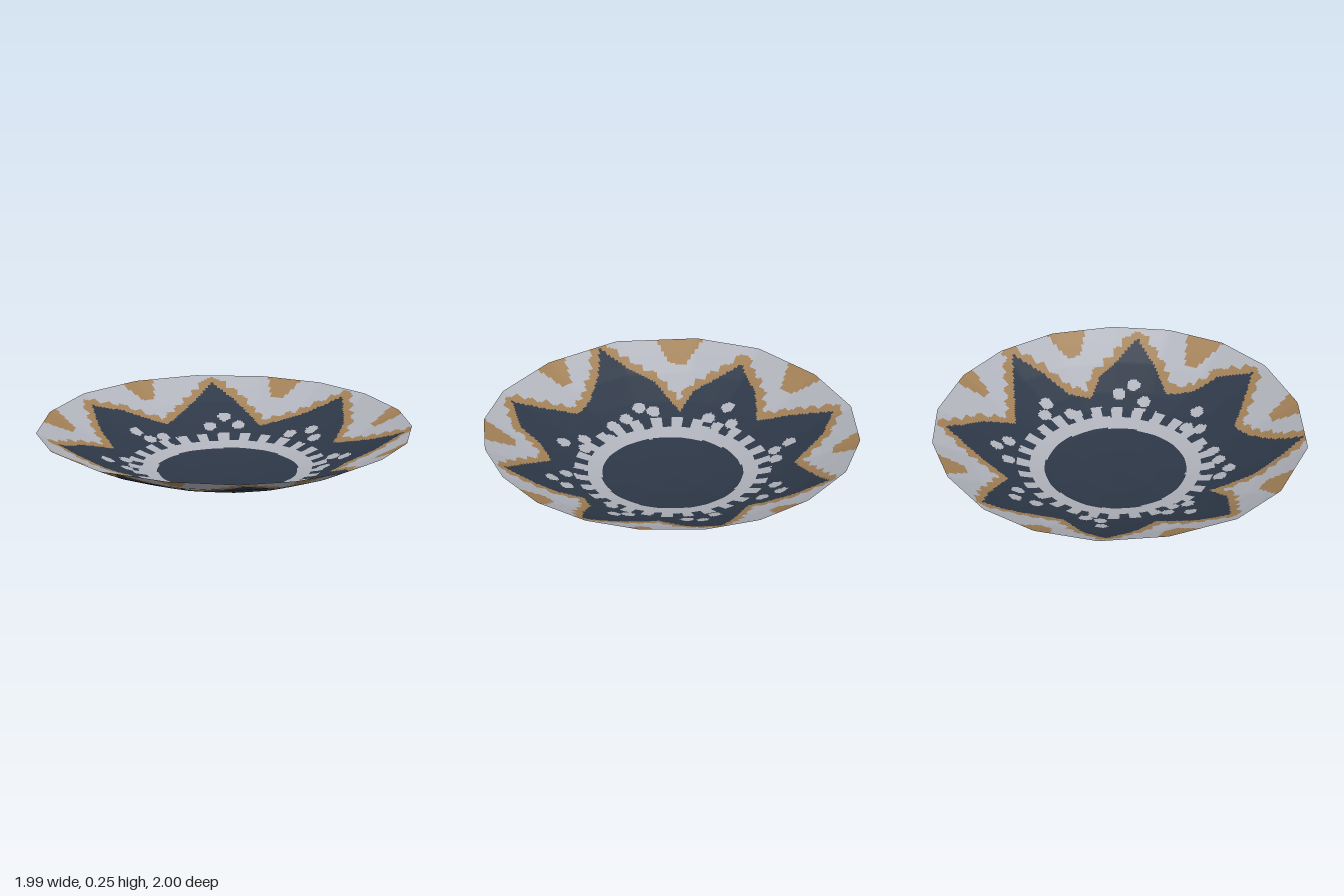
import * as THREE from 'three';

const navy = new THREE.MeshStandardMaterial({ color: 0x2d3746, side: THREE.DoubleSide });
navy.name = 'navy glaze';
const grey = new THREE.MeshStandardMaterial({ color: 0xb0b2bb, side: THREE.DoubleSide });
grey.name = 'pale grey glaze';
const ochre = new THREE.MeshStandardMaterial({ color: 0xa07f56, side: THREE.DoubleSide });
ochre.name = 'ochre glaze';

// Uneven many-sided rim, as x, z corners
const RIM = [
  [-0.05, -1], [0.26, -0.96], [0.57, -0.81], [0.79, -0.6], [0.94, -0.32], [0.99, 0],
  [0.95, 0.3], [0.82, 0.58], [0.6, 0.8], [0.25, 0.96], [-0.17, 1], [-0.57, 0.84],
  [-0.82, 0.6], [-0.97, 0.23], [-1, -0.15], [-0.89, -0.49], [-0.68, -0.75], [-0.37, -0.93],
];
// Eight-pointed star outline, as x, z corners
const STAR = [
  [0.14, -0.92], [0.28, -0.72], [0.33, -0.54], [0.78, -0.54], [0.7, -0.38], [0.59, -0.25],
  [0.57, -0.13], [0.7, -0.08], [0.92, 0.13], [0.75, 0.22], [0.57, 0.27], [0.56, 0.42],
  [0.62, 0.55], [0.58, 0.73], [0.38, 0.67], [0.24, 0.62], [0.14, 0.69], [0.02, 0.83],
  [-0.06, 0.98], [-0.16, 0.83], [-0.25, 0.7], [-0.29, 0.47], [-0.41, 0.56], [-0.7, 0.57],
  [-0.68, 0.36], [-0.6, 0.17], [-0.75, 0.07], [-0.92, -0.1], [-0.8, -0.22], [-0.58, -0.32],
  [-0.58, -0.75], [-0.4, -0.71], [-0.17, -0.6], [-0.05, -0.72],
];
// Pale dabs around the ring: x, z
const DABS = [
  [0.02, -0.59], [0.12, -0.65], [0.18, -0.58], [-0.38, -0.57], [-0.28, -0.55], [-0.4, -0.46],
  [0.43, -0.38], [0.51, -0.37], [0.46, -0.24], [-0.53, -0.2], [-0.65, -0.12], [-0.56, -0.12],
  [0.6, 0.02], [0.65, 0.1], [0.54, 0.15], [-0.48, 0.24], [-0.52, 0.36], [-0.4, 0.35],
  [-0.34, 0.28], [-0.16, 0.53], [-0.1, 0.58], [0, 0.53], [0.09, 0.5], [0.15, 0.42],
  [0.29, 0.44], [0.42, 0.43], [0.32, 0.37],
];
// Ochre wedges hanging from the rim: x, z, half width
const WEDGES = [
  [-0.25, -0.97, 0.1], [0.57, -0.81, 0.08], [0.96, -0.25, 0.11], [0.85, 0.48, 0.1],
  [0.25, 0.96, 0.1], [-0.48, 0.88, 0.13], [-0.95, 0.29, 0.13], [-0.89, -0.49, 0.1],
];

// Distance to the nearest edge of the star, position along it, and inside test
function starField(x, z) {
  let best = Infinity, along = 0, run = 0, inside = false;
  STAR.forEach(([ax, az], i) => {
    const [bx, bz] = STAR[(i + 1) % STAR.length];
    const dx = bx - ax, dz = bz - az, len = Math.hypot(dx, dz);
    const k = THREE.MathUtils.clamp(((x - ax) * dx + (z - az) * dz) / (len * len), 0, 1);
    const d = Math.hypot(x - ax - k * dx, z - az - k * dz);
    if (d < best) { best = d; along = run + k * len; }
    run += len;
    if ((az > z) !== (bz > z) && x < ax + (z - az) * dx / dz) inside = !inside;
  });
  return { distance: best, along, inside };
}

// Glaze at a point: 0 navy, 1 grey, 2 ochre
function glazeAt(x, z) {
  // Dark centre, pale ring and its teeth
  const r = Math.hypot(x + 0.005, z + 0.02), a = Math.atan2(z + 0.02, x + 0.005);
  if (r < 0.375) return 0;
  if (r < 0.455) return 1;
  if (r < 0.525 && Math.sin(a * 28) > -0.1) return 1;
  if (DABS.some(([dx, dz]) => Math.hypot(x - dx, z - dz) < 0.035)) return 1;
  // Star with a scalloped border
  const s = starField(x, z);
  if (s.inside) return 0;
  if (s.distance < 0.046 + 0.012 * Math.sin(s.along * 80)) return 2;
  // Wedges narrow toward the centre
  for (const [wx, wz, w] of WEDGES) {
    const l = Math.hypot(wx, wz);
    const inward = l - (x * wx + z * wz) / l;
    const across = Math.abs(x * wz - z * wx) / l;
    if (inward < 0.15 && across < w * (1 - inward / 0.22)) return 2;
  }
  return 1;
}

// Radius of the rim polygon along a direction
function rimRadius(a) {
  const c = Math.cos(a), s = Math.sin(a);
  for (let i = 0; i < RIM.length; i++) {
    const [ax, az] = RIM[i], [bx, bz] = RIM[(i + 1) % RIM.length];
    const u = ax * s - az * c, v = bx * s - bz * c;
    if (u >= 0 && v <= 0 && ax * c + az * s > 0) {
      const k = u / (u - v);
      return Math.hypot(ax + k * (bx - ax), az + k * (bz - az));
    }
  }
  return 1;
}

// Dish section: fraction of radius, height
const SECTION = [[0, 0], [0.2, 0.006], [0.36, 0.022], [0.5, 0.054], [0.62, 0.09], [0.8, 0.157], [0.92, 0.212], [1, 0.25]];
function heightAt(t) {
  const i = Math.max(1, SECTION.findIndex(([u]) => u >= t));
  const [a, ya] = SECTION[i - 1], [b, yb] = SECTION[i];
  return ya + (yb - ya) * (t - a) / (b - a);
}

export function createModel() {
  const group = new THREE.Group();
  group.name = 'shallowDish';
  const rings = 100, segments = 360;
  const positions = [], faces = [[], [], []];
  const radii = Array.from({ length: segments }, (_, j) => rimRadius(j / segments * Math.PI * 2));

  for (let i = 0; i <= rings; i++) {
    const t = i / rings;
    for (let j = 0; j < segments; j++) {
      const a = j / segments * Math.PI * 2;
      // The floor is round and eases into the angular rim
      const r = t * THREE.MathUtils.lerp(1, radii[j], t);
      positions.push(r * Math.cos(a), heightAt(t), r * Math.sin(a));
    }
  }
  // Sort every cell into its glaze
  for (let i = 0; i < rings; i++) {
    for (let j = 0; j < segments; j++) {
      const k = (j + 1) % segments;
      const a = i * segments + j, b = i * segments + k;
      const c = a + segments, d = b + segments;
      const x = (positions[a * 3] + positions[d * 3]) / 2;
      const z = (positions[a * 3 + 2] + positions[d * 3 + 2]) / 2;
      const cell = faces[glazeAt(x, z)];
      if (i > 0) cell.push(a, b, c);
      cell.push(b, d, c);
    }
  }

  const geometry = new THREE.BufferGeometry();
  geometry.setAttribute('position', new THREE.Float32BufferAttribute(positions, 3));
  geometry.setIndex(faces.flat());
  let start = 0;
  faces.forEach((list, i) => {
    geometry.addGroup(start, list.length, i);
    start += list.length;
  });
  geometry.computeVertexNormals();
  const dish = new THREE.Mesh(geometry, [navy, grey, ochre]);
  dish.name = 'glazedDish';
  group.add(dish);
  return group;
}
